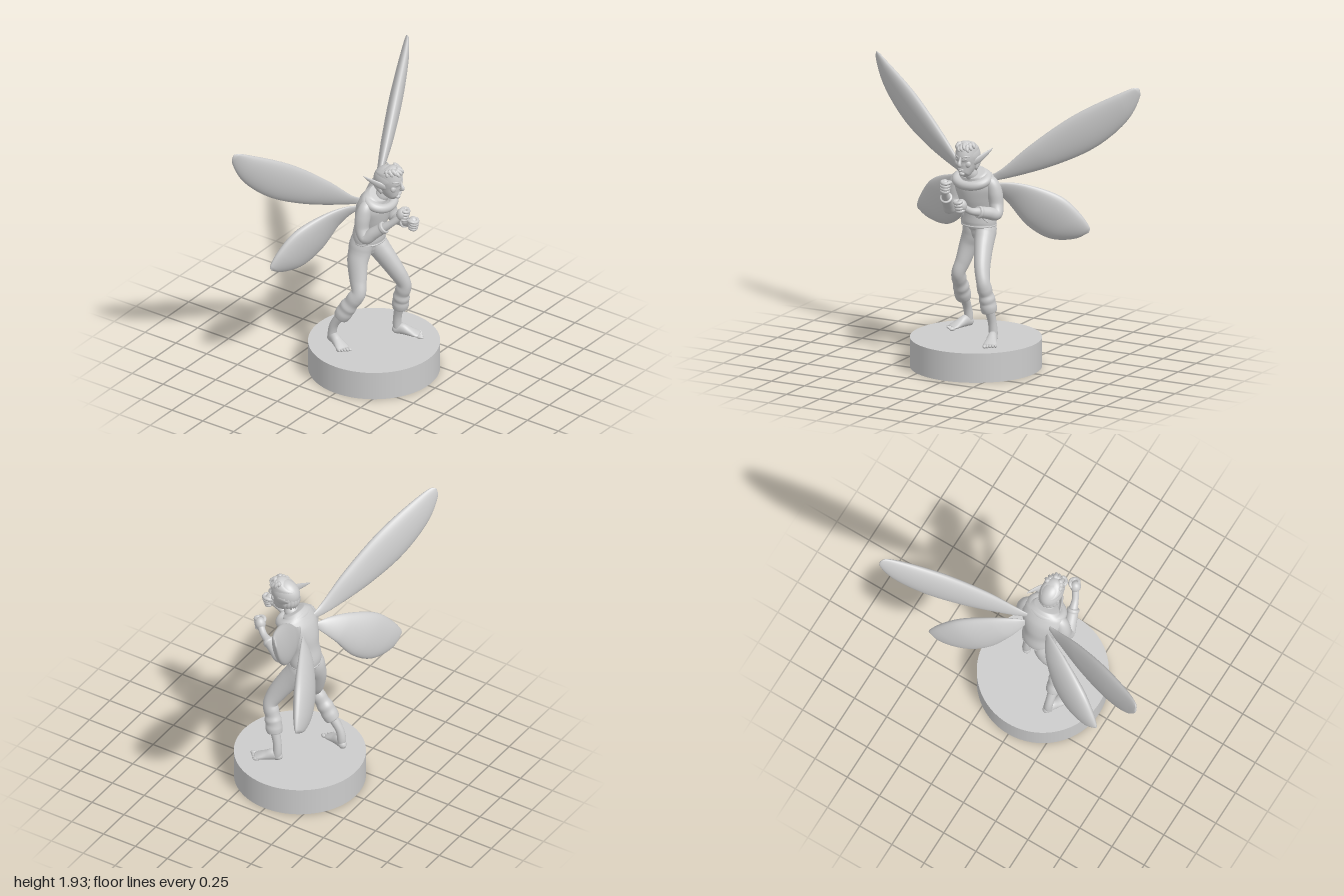
import * as THREE from 'three';

const V = (x, y, z) => new THREE.Vector3(x, y, z);

export function createModel() {
  const root = new THREE.Group();
  const mat = new THREE.MeshStandardMaterial({ color: 0xcccccc });

  const add = (name, geo, parent = root) => {
    const m = new THREE.Mesh(geo, mat);
    m.name = name;
    parent.add(m);
    return m;
  };

  // Skin a list of rings into a closed smooth surface
  const skin = (rings) => {
    const n = rings[0].length, pos = [], idx = [];
    rings.forEach((r) => r.forEach((p) => pos.push(p.x, p.y, p.z)));
    for (let i = 0; i < rings.length - 1; i++) {
      for (let j = 0; j < n; j++) {
        const a = i * n + j, b = i * n + (j + 1) % n;
        idx.push(a, b, a + n, b, b + n, a + n);
      }
    }
    [0, rings.length - 1].forEach((k) => {
      const c = rings[k].reduce((s, p) => s.add(p), V(0, 0, 0)).divideScalar(n);
      const ci = pos.length / 3;
      pos.push(c.x, c.y, c.z);
      for (let j = 0; j < n; j++) {
        const a = k * n + j, b = k * n + (j + 1) % n;
        if (k === 0) idx.push(ci, b, a); else idx.push(ci, a, b);
      }
    });
    const g = new THREE.BufferGeometry();
    g.setAttribute('position', new THREE.Float32BufferAttribute(pos, 3));
    g.setIndex(idx);
    g.computeVertexNormals();
    return g;
  };

  const ring = (c, s, u, n) => Array.from({ length: n }, (_, j) => {
    const a = (j / n) * Math.PI * 2;
    return c.clone().addScaledVector(s, Math.cos(a)).addScaledVector(u, Math.sin(a));
  });

  // Sweep an ellipse through stations [x, y, z, sideRadius, otherRadius]
  const limb = (name, st, parent = root, n = 28) => {
    const path = new THREE.CatmullRomCurve3(st.map((s) => V(s[0], s[1], s[2])));
    const rad = new THREE.CatmullRomCurve3(st.map((s) => V(s[3], s[4] ?? s[3], 0)));
    const steps = (st.length - 1) * 6, rings = [];
    for (let i = 0; i <= steps; i++) {
      const t = i / steps, T = path.getTangent(t), r = rad.getPoint(t);
      const S = V(1, 0, 0).addScaledVector(T, -T.x).normalize();
      const U = T.clone().cross(S);
      rings.push(ring(path.getPoint(t), S.multiplyScalar(r.x), U.multiplyScalar(r.y), n));
    }
    return add(name, skin(rings), parent);
  };

  const ball = (name, p, r, parent = root) => {
    const m = add(name, new THREE.SphereGeometry(1, 20, 14), parent);
    m.position.set(...p);
    m.scale.set(...r);
    return m;
  };

  // Round base
  add('base', new THREE.CylinderGeometry(0.438, 0.438, 0.2, 96)).position.set(0, 0.1, 0.005);

  // Wings: lens-shaped sections between an upper and a lower outline, slightly twisted
  const wing = (name, m, top, bottom, z0, slope, twist) => {
    const toCurve = (pts) => new THREE.CatmullRomCurve3(
      pts.map(([x, y]) => V(m * x, y, z0 - slope * (x - 0.08))));
    const a = toCurve(top), b = toCurve(bottom), rings = [];
    const N = V(m * slope, 0, 1).normalize().multiplyScalar(m);
    for (let i = 0; i <= 48; i++) {
      const A = a.getPoint(i / 48), B = b.getPoint(i / 48), bow = Math.sin(Math.PI * i / 48);
      A.z += twist[0] * bow;
      B.z += twist[1] * bow;
      const half = A.clone().sub(B).multiplyScalar(0.5);
      const u = N.clone().multiplyScalar(half.length() * 0.34);
      rings.push(ring(A.add(B).multiplyScalar(0.5), half, u, 36));
    }
    add(name, skin(rings));
  };
  for (const [side, m] of [['left', 1], ['right', -1]]) {
    wing(side + 'UpperWing', m,
      [[0.07, 1.3], [0.145, 1.345], [0.33, 1.52], [0.6, 1.735], [0.865, 1.885], [0.97, 1.932], [0.987, 1.928]],
      [[0.07, 1.26], [0.2, 1.29], [0.49, 1.39], [0.73, 1.52], [0.92, 1.71], [0.995, 1.875], [0.996, 1.915]],
      -0.05, 0.42, [0.03, -0.02]);
    wing(side + 'LowerWing', m,
      [[0.07, 1.24], [0.17, 1.25], [0.3, 1.23], [0.49, 1.15], [0.6, 1.03], [0.648, 0.945], [0.652, 0.925]],
      [[0.07, 1.21], [0.1, 1.16], [0.145, 1.09], [0.25, 0.935], [0.385, 0.85], [0.545, 0.855], [0.642, 0.905]],
      -0.07, 0.54, [0, -0.085]);
  }

  // Shirt, hem, pocket slits and draped cowl
  limb('shirt', [[0, 0.962, -0.035, 0.12, 0.1], [0, 1.0, -0.035, 0.122, 0.105], [0, 1.08, -0.025, 0.113, 0.1],
    [0, 1.17, -0.008, 0.132, 0.108], [0, 1.25, 0.012, 0.152, 0.104], [0, 1.31, 0.035, 0.14, 0.086],
    [0, 1.345, 0.055, 0.085, 0.065]], root, 40);
  const hem = add('shirtHem', new THREE.TorusGeometry(0.117, 0.006, 10, 48));
  hem.position.set(0, 0.967, -0.035);
  hem.rotation.x = Math.PI / 2;
  hem.scale.y = 0.86;
  for (const m of [1, -1]) {
    const c = new THREE.CatmullRomCurve3([V(m * 0.065, 1.07, 0.058), V(m * 0.075, 1.035, 0.05), V(m * 0.1, 1.0, 0.025)]);
    add('pocketEdge', new THREE.TubeGeometry(c, 12, 0.005, 6));
  }
  const cowl = add('cowl', new THREE.TorusGeometry(0.096, 0.034, 18, 48));
  cowl.position.set(0, 1.298, 0.058);
  cowl.rotation.x = Math.PI / 2 + 0.42;
  cowl.scale.set(1.1, 0.87, 0.95);

  // Trousers
  limb('trouserSeat', [[0, 1.0, -0.035, 0.1, 0.08], [0, 0.94, -0.045, 0.1, 0.075], [0, 0.89, -0.035, 0.06, 0.055],
    [0, 0.855, -0.025, 0.025, 0.03]]);
  const legRadii = [[0.055, 0.075], [0.069, 0.083], [0.067, 0.08], [0.06, 0.074], [0.05, 0.062], [0.045, 0.05],
    [0.049, 0.054], [0.046, 0.051], [0.054, 0.058], [0.051, 0.056], [0.055, 0.058], [0.05, 0.052], [0.03, 0.03]];
  const trouserLeg = (name, pts) => limb(name, pts.map((p, i) => [...p, ...legRadii[i]]));
  trouserLeg('leftTrouserLeg', [[0.05, 1.01, -0.04], [0.056, 0.93, -0.03], [0.062, 0.885, -0.002], [0.077, 0.82, 0.045],
    [0.11, 0.7, 0.12], [0.135, 0.62, 0.152], [0.14, 0.575, 0.142], [0.143, 0.54, 0.13], [0.147, 0.505, 0.122],
    [0.15, 0.48, 0.116], [0.153, 0.45, 0.112], [0.156, 0.415, 0.105], [0.157, 0.408, 0.104]]);
  trouserLeg('rightTrouserLeg', [[-0.05, 1.01, -0.045], [-0.056, 0.93, -0.062], [-0.066, 0.885, -0.066], [-0.09, 0.82, -0.065],
    [-0.12, 0.7, -0.04], [-0.145, 0.62, -0.018], [-0.155, 0.575, -0.043], [-0.16, 0.54, -0.065],
    [-0.164, 0.505, -0.088], [-0.167, 0.48, -0.103], [-0.17, 0.45, -0.12], [-0.172, 0.415, -0.14],
    [-0.173, 0.408, -0.144]]);

  // Bare shins and feet with five toes
  limb('leftShin', [[0.153, 0.45, 0.11, 0.036], [0.163, 0.34, 0.08, 0.029], [0.168, 0.27, 0.074, 0.03], [0.17, 0.225, 0.078, 0.028]]);
  limb('rightShin', [[-0.17, 0.45, -0.125, 0.036], [-0.176, 0.34, -0.195, 0.029], [-0.174, 0.27, -0.212, 0.03],
    [-0.176, 0.225, -0.208, 0.028]]);
  const foot = (name, x, z, yaw, m) => {
    const g = new THREE.Group();
    g.name = name;
    g.position.set(x, 0.2, z);
    g.rotation.y = yaw;
    root.add(g);
    limb('sole', [[0, 0.024, -0.036, 0.01, 0.01], [0, 0.03, -0.02, 0.027, 0.028], [0, 0.042, 0.025, 0.031, 0.04],
      [0, 0.031, 0.075, 0.037, 0.03], [0, 0.019, 0.125, 0.045, 0.018], [0, 0.014, 0.15, 0.038, 0.011]], g);
    for (let i = 0; i < 5; i++) {
      const r = i === 0 ? 0.013 : 0.0105 - i * 0.0005;
      ball('toe', [m * (-0.034 + i * 0.018), 0.012, 0.162 - i * 0.007], [r, 0.012, 0.024], g);
    }
  };
  foot('leftFoot', 0.168, 0.078, 0.36, 1);
  foot('rightFoot', -0.174, -0.212, -0.4, -1);

  // Arms: sleeve, rolled cuff, forearm and clenched fist
  const arm = (side, m, elbow, wrist, hand, tilt) => {
    const E = V(...elbow), W = V(...wrist), at = (t) => E.clone().lerp(W, t).toArray();
    limb(side + 'Sleeve', [[m * 0.07, 1.295, 0.03, 0.035], [m * 0.125, 1.275, 0.026, 0.046], [m * 0.148, 1.21, 0.018, 0.052],
      [m * 0.161, 1.13, 0.02, 0.047], [...elbow, 0.043], [...at(0.3), 0.041], [...at(0.58), 0.038],
      [...at(0.64), 0.042], [...at(0.7), 0.041], [...at(0.72), 0.026]]);
    limb(side + 'Forearm', [[...at(0.4), 0.034], [...at(0.7), 0.03], [...at(1), 0.023], [...hand, 0.024]]);
    const g = new THREE.Group();
    g.name = side + 'Fist';
    g.position.set(...hand);
    g.rotation.set(tilt, m * -0.4, m * 0.15);
    root.add(g);
    ball('palm', [0, 0, -0.004], [0.036, 0.045, 0.036], g);
    for (let i = 0; i < 4; i++) {
      const f = add('finger', new THREE.TorusGeometry(0.024 - Math.abs(i - 2) * 0.001, 0.0125, 10, 20, 4.2), g);
      f.rotation.set(Math.PI / 2, 0, -0.53);
      f.position.set(-m * 0.004, -0.03 + i * 0.021, 0.012);
    }
    limb('thumb', [[-m * 0.02, 0.01, -0.025, 0.009], [-m * 0.036, 0.026, -0.005, 0.013],
      [-m * 0.032, 0.035, 0.02, 0.012], [-m * 0.015, 0.036, 0.04, 0.006]], g, 14);
  };
  arm('right', -1, [-0.17, 1.075, 0.055], [-0.112, 1.225, 0.235], [-0.08, 1.29, 0.29], 0.25);
  arm('left', 1, [0.175, 1.075, 0.05], [0.085, 1.125, 0.235], [0.045, 1.17, 0.29], 0.3);

  // Neck and head
  limb('neck', [[0, 1.27, 0.035, 0.055], [0, 1.35, 0.08, 0.046], [0, 1.43, 0.1, 0.046]]);
  limb('head', [[0, 1.342, 0.18, 0.012, 0.016], [0, 1.354, 0.172, 0.034, 0.042], [0, 1.39, 0.15, 0.053, 0.072],
    [0, 1.43, 0.132, 0.066, 0.092], [0, 1.48, 0.125, 0.073, 0.099], [0, 1.53, 0.12, 0.068, 0.092],
    [0, 1.552, 0.115, 0.05, 0.065], [0, 1.562, 0.11, 0.015, 0.02]], root, 36);

  // Face and pointed ears
  limb('nose', [[0, 1.482, 0.217, 0.006, 0.008], [0, 1.455, 0.226, 0.009, 0.012], [0, 1.432, 0.236, 0.013, 0.014],
    [0, 1.422, 0.226, 0.012, 0.012], [0, 1.417, 0.215, 0.006, 0.006]], root, 16);
  ball('upperLip', [0, 1.396, 0.216], [0.022, 0.005, 0.008]);
  ball('lowerLip', [0, 1.385, 0.212], [0.018, 0.006, 0.009]);
  ball('chin', [0, 1.362, 0.2], [0.02, 0.015, 0.015]);
  for (const m of [1, -1]) {
    ball('eye', [m * 0.028, 1.464, 0.21], [0.012, 0.004, 0.005]);
    limb('brow', [[m * 0.01, 1.477, 0.22, 0.004], [m * 0.03, 1.484, 0.212, 0.007], [m * 0.054, 1.482, 0.188, 0.004]], root, 12);
    ball('cheek', [m * 0.034, 1.43, 0.187], [0.026, 0.026, 0.018]);
    limb('ear', [[m * 0.056, 1.425, 0.14, 0.008, 0.015], [m * 0.076, 1.446, 0.115, 0.011, 0.027],
      [m * 0.1, 1.472, 0.075, 0.009, 0.021], [m * 0.122, 1.5, 0.025, 0.005, 0.008], [m * 0.128, 1.512, 0.005, 0.001, 0.001]], root, 18);
  }

  // Hair: smooth cap, short curly fringe and nape tufts
  const cap = add('hairCap', new THREE.SphereGeometry(1, 40, 20, 0, Math.PI * 2, 0, Math.PI * 0.56));
  cap.material = mat.clone();
  cap.material.side = THREE.DoubleSide;
  cap.position.set(0, 1.473, 0.116);
  cap.scale.set(0.077, 0.093, 0.104);
  cap.rotation.x = -0.45;
  for (let i = 0; i < 9; i++) {
    const a = -1.2 + i * 0.3, lift = 0.008 * (i % 3);
    limb('fringeLock', [[0.04 * Math.sin(a), 1.548, 0.11 + 0.06 * Math.cos(a), 0.014],
      [0.058 * Math.sin(a), 1.54 + lift, 0.114 + 0.092 * Math.cos(a), 0.014],
      [0.069 * Math.sin(a + 0.1), 1.526 + lift, 0.116 + 0.107 * Math.cos(a), 0.01],
      [0.069 * Math.sin(a + 0.25), 1.514 + lift, 0.118 + 0.1 * Math.cos(a), 0.003]], root, 10);
  }
  for (let i = 0; i < 9; i++) {
    const a = -1.2 + i * 0.3, x = 0.06 * Math.sin(a), z = 0.106 - 0.08 * Math.cos(a);
    limb('napeTuft', [[x, 1.47, z + 0.01, 0.018], [x, 1.425, z + 0.008, 0.021], [x * 0.9, 1.39, z + 0.018, 0.016],
      [x * 0.85, 1.368 + 0.01 * (i % 2), z + 0.014, 0.003]], root, 12);
  }
  return root;
}
